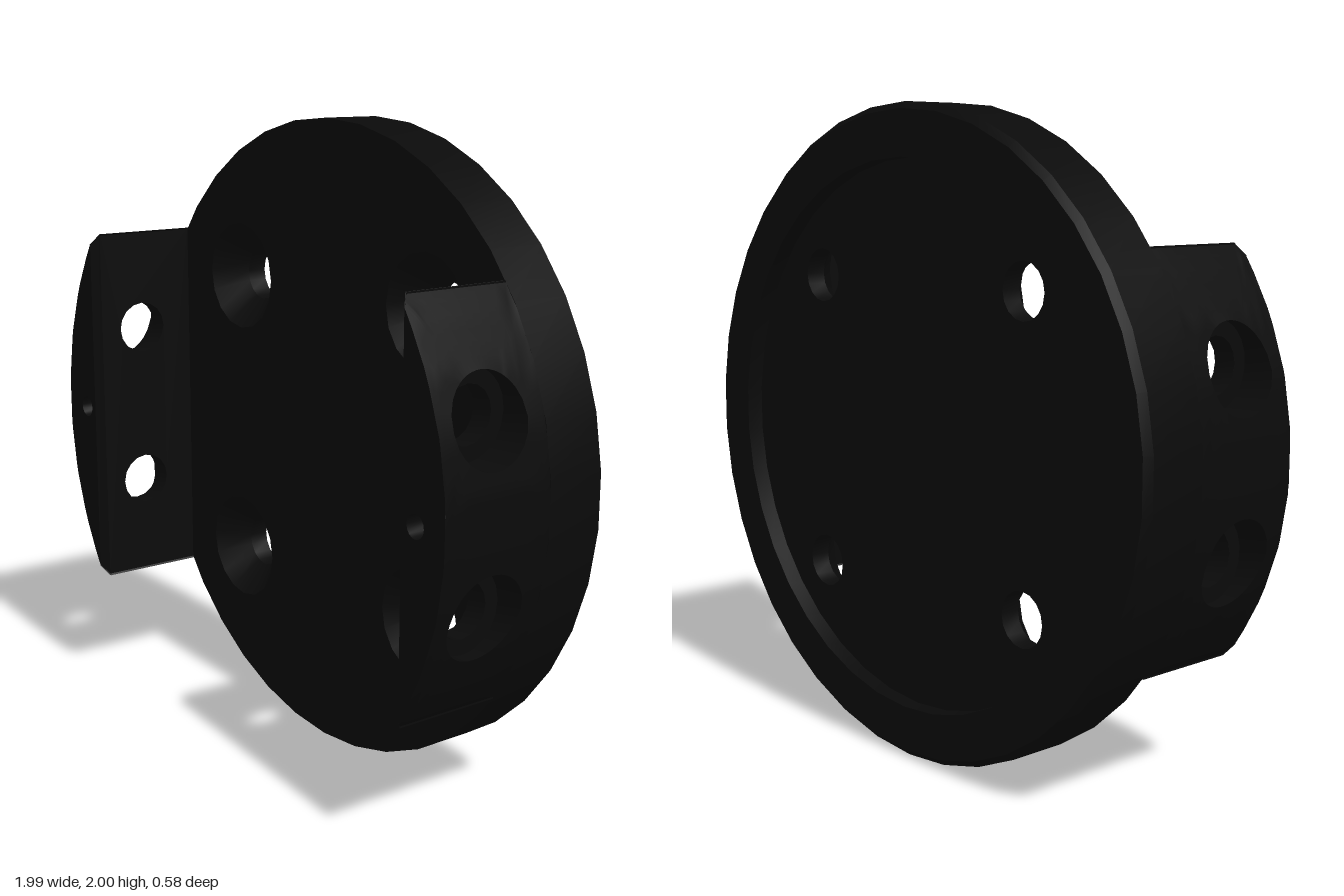
import * as THREE from 'three';
import { toCreasedNormals } from 'three/addons/utils/BufferGeometryUtils.js';
import { ParametricGeometry } from 'three/addons/geometries/ParametricGeometry.js';

const SIDES = 38, STEP = (Math.PI * 2) / SIDES, HOLE_SIDES = 16;
const BACK = -0.29, FLOOR = -0.235, FACE = -0.08, TIP = 0.29; // z levels
const BORE = 0.085, SINK = 0.175, SINK_DEPTH = 0.09;          // plate holes
const INNER = 0.8, CHAMFER = 0.025, SEAT = 0.87;              // tab x levels
const END = 0.6, TIP_END = 0.565;                             // tab half heights
const SIDE_Y = 0.27, SIDE_Z = 0.11, COUNTERBORE = 0.13;       // side holes
const PIN_X = 0.88, PIN = 0.035, PIN_DEPTH = 0.08;

const material = new THREE.MeshStandardMaterial({ color: 0x0a0a0a, side: THREE.DoubleSide });

function add(group, name, geometry, x = 0, y = 0, z = 0) {
  const mesh = new THREE.Mesh(toCreasedNormals(geometry, 0.5), material);
  mesh.name = name;
  mesh.position.set(x, y, z);
  group.add(mesh);
}

// x of the faceted rim at height y above the centre
function rimX(y) {
  const i = Math.floor(Math.acos(y) / STEP);
  const a = i * STEP, b = a + STEP;
  const t = (Math.cos(a) - y) / (Math.cos(a) - Math.cos(b));
  return THREE.MathUtils.lerp(Math.sin(a), Math.sin(b), t);
}

function circlePoints(r, n, cx = 0, cy = 0) {
  return Array.from({ length: n }, (_, i) => {
    const a = (i / n) * Math.PI * 2;
    return new THREE.Vector2(cx + r * Math.sin(a), cy + r * Math.cos(a));
  });
}

function sheet(points, holes) {
  const shape = new THREE.Shape(points);
  for (const [x, y, r] of holes) shape.holes.push(new THREE.Path(circlePoints(r, HOLE_SIDES, x, y)));
  return new THREE.ShapeGeometry(shape);
}

// Open tube along z, from radius r0 at the back to r1 at the front
function tube(r0, r1, depth) {
  return new THREE.CylinderGeometry(r1, r0, depth, HOLE_SIDES, 1, true).rotateX(Math.PI / 2);
}

function makePlate() {
  const plate = new THREE.Group();
  plate.name = 'roundPlate';
  const centres = [[-0.47, -0.47], [0.47, -0.47], [-0.47, 0.47], [0.47, 0.47]];
  const holes = (r) => centres.map(([x, y]) => [x, y, r]);

  const profile = [[0.84, FLOOR], [0.84, BACK], [0.98, BACK], [1, BACK + 0.02], [1, FACE]];
  const rim = new THREE.LatheGeometry(profile.map((p) => new THREE.Vector2(...p)), SIDES);
  add(plate, 'rim', rim.rotateX(Math.PI / 2));
  add(plate, 'frontFace', sheet(circlePoints(1, SIDES), holes(SINK)), 0, 0, FACE);
  const floor = sheet(circlePoints(0.84, SIDES), holes(BORE)).rotateY(Math.PI);
  add(plate, 'recessFloor', floor, 0, 0, FLOOR);

  const sinkFloor = FACE - SINK_DEPTH;
  for (const [x, y] of centres) {
    add(plate, 'countersink', tube(BORE, SINK, SINK_DEPTH), x, y, FACE - SINK_DEPTH / 2);
    add(plate, 'boltHole', tube(BORE, BORE, sinkFloor - FLOOR), x, y, (sinkFloor + FLOOR) / 2);
  }
  return plate;
}

// Outline of half the tab's outer surface, as (y, z)
const OUTLINE = [[0, FACE], [END, FACE], [END, TIP - CHAMFER], [TIP_END, TIP], [0, TIP]];
const EDGE_STEPS = 9;

// Point on the outline and matching point on the side hole's edge
function outlineAndHole(u) {
  const s = Math.min(Math.max(u, 0), 1) * OUTLINE.length;
  const i = Math.min(Math.floor(s), OUTLINE.length - 1);
  const a = new THREE.Vector2(...OUTLINE[i]);
  const outer = a.lerp(new THREE.Vector2(...OUTLINE[(i + 1) % OUTLINE.length]), s - i);
  const centre = new THREE.Vector2(SIDE_Y, SIDE_Z);
  const hole = outer.clone().sub(centre).setLength(COUNTERBORE).add(centre);
  return { outer, hole };
}

function makeTab(name) {
  const tab = new THREE.Group();
  tab.name = name;
  const slices = OUTLINE.length * EDGE_STEPS;

  for (const side of [1, -1]) {
    // Curved outer surface, running from the hole's edge to the outline
    const outside = (u, v, target) => {
      const { outer, hole } = outlineAndHole(u);
      const p = hole.lerp(outer, v);
      target.set(rimX(p.x), side * p.x, p.y);
    };
    const wall = (u, v, target) => {
      const { hole } = outlineAndHole(u);
      target.set(THREE.MathUtils.lerp(SEAT, rimX(hole.x), v), side * hole.x, hole.y);
    };
    // Reversing u keeps the faces outward on both halves
    const facing = (f) => (side > 0 ? (u, v, t) => f(1 - u, v, t) : f);
    add(tab, 'outerSurface', new ParametricGeometry(facing(outside), slices, 6));
    add(tab, 'counterboreWall', new ParametricGeometry(facing(wall), slices, 1));
    const seat = new THREE.RingGeometry(BORE, COUNTERBORE + 0.002, 24).rotateY(Math.PI / 2);
    add(tab, 'counterboreSeat', seat, SEAT, side * SIDE_Y, SIDE_Z);
    const bore = tube(BORE, BORE, SEAT - INNER).rotateY(Math.PI / 2);
    add(tab, 'sideHole', bore, (SEAT + INNER) / 2, side * SIDE_Y, SIDE_Z);
  }

  // Flat inner face, drawn as (z, y) and turned inward
  const top = TIP - CHAMFER;
  const corners = [[FACE, -END], [top, -END], [top, END], [FACE, END]].map((p) => new THREE.Vector2(...p));
  const inner = sheet(corners, [[SIDE_Z, SIDE_Y, BORE], [SIDE_Z, -SIDE_Y, BORE]]);
  add(tab, 'innerFace', inner.rotateY(-Math.PI / 2), INNER);

  const bevel = (u, v, target) =>
    target.set(INNER + CHAMFER * v, (2 * u - 1) * THREE.MathUtils.lerp(END, TIP_END, v), top + CHAMFER * v);
  add(tab, 'innerBevel', new ParametricGeometry((u, v, t) => bevel(1 - u, v, t), 1, 1));

  // Tip face with a blind pin hole
  const arc = Array.from({ length: 25 }, (_, i) => {
    const y = TIP_END * (i / 12 - 1);
    return new THREE.Vector2(rimX(y), y);
  });
  add(tab, 'tipFace', sheet(arc, [[PIN_X, 0, PIN]]), 0, 0, TIP);
  add(tab, 'pinHole', tube(PIN, PIN, PIN_DEPTH), PIN_X, 0, TIP - PIN_DEPTH / 2);
  add(tab, 'pinHoleFloor', new THREE.CircleGeometry(PIN, HOLE_SIDES), PIN_X, 0, TIP - PIN_DEPTH);
  return tab;
}

export function createModel() {
  const model = new THREE.Group();
  model.name = 'mountingFlange';
  const leftTab = makeTab('leftTab');
  const rightTab = makeTab('rightTab');
  rightTab.rotation.z = Math.PI;
  const body = new THREE.Group();
  body.name = 'body';
  body.position.y = 1;
  body.add(makePlate(), leftTab, rightTab);
  model.add(body);
  return model;
}
